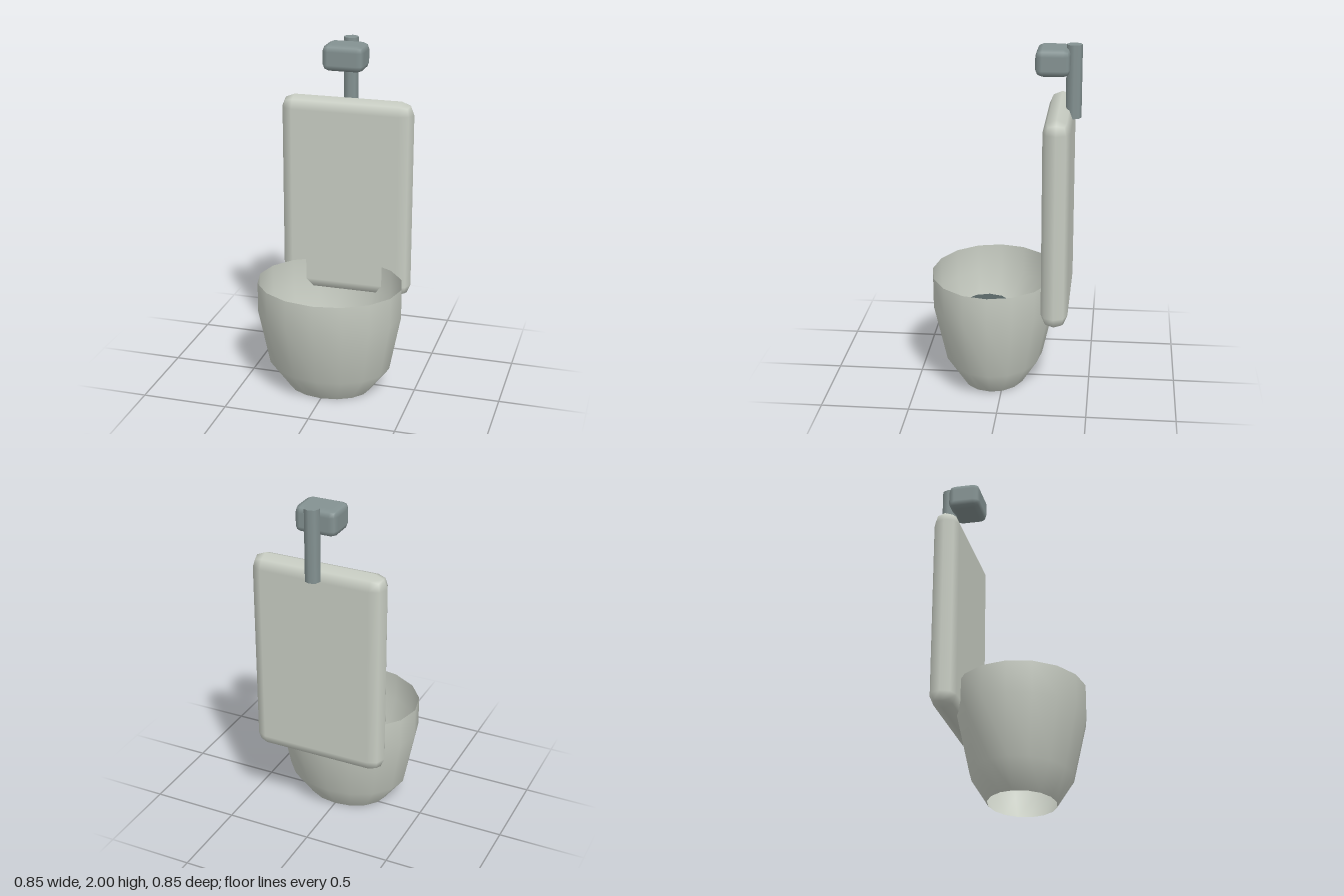
import * as THREE from 'three';
import { mergeVertices } from 'three/addons/utils/BufferGeometryUtils.js';
import { RoundedBoxGeometry } from 'three/addons/geometries/RoundedBoxGeometry.js';

function material(name, color, side = THREE.FrontSide) {
  const m = new THREE.MeshStandardMaterial({ color, side });
  m.name = name;
  return m;
}

// Open oval shell: each ring is [radius in x, radius in z, height]
function ovalShell(rings, sides) {
  const profile = rings.map(([rx, , y]) => new THREE.Vector2(rx, y));
  const geometry = new THREE.LatheGeometry(profile, sides);
  const pos = geometry.attributes.position;
  for (let i = 0; i < pos.count; i++) {
    const [rx, rz] = rings[i % rings.length];
    pos.setZ(i, pos.getZ(i) * rz / rx);
  }
  geometry.deleteAttribute('uv');
  geometry.deleteAttribute('normal');
  const welded = mergeVertices(geometry, 1e-4);
  welded.computeVertexNormals();
  return welded;
}

export function createModel() {
  const model = new THREE.Group();
  model.name = 'wallUrinal';

  const ceramic = material('ceramic', 0xc8cdc3);
  const ceramicShell = material('ceramicShell', 0xc8cdc3, THREE.DoubleSide);
  const metal = material('metal', 0x849292);
  const drainGrey = material('drainGrey', 0x566363);

  const add = (name, geometry, mat, x, y, z) => {
    const mesh = new THREE.Mesh(geometry, mat);
    mesh.name = name;
    mesh.position.set(x, y, z);
    model.add(mesh);
    return mesh;
  };

  // Bowl, open at the top and the bottom
  const rings = [
    [0.245, 0.188, 0],
    [0.36, 0.283, 0.15],
    [0.425, 0.36, 0.485],
    [0.425, 0.36, 0.66],
  ];
  add('bowl', ovalShell(rings, 16), ceramicShell, 0, 0, 0.0625);

  // Back panel with fully rounded edges
  add('backPanel', new RoundedBoxGeometry(0.79, 1.2, 0.15, 1, 0.075), ceramic, 0, 1.06, -0.305);

  // Oval drain plate inside the bowl
  const drain = add('drain', new THREE.CylinderGeometry(0.19, 0.197, 0.05, 12), drainGrey, 0, 0.405, 0.11);
  drain.scale.z = 0.81;

  // Water pipe and flush valve
  add('pipe', new THREE.CylinderGeometry(0.044, 0.044, 0.41, 8), metal, 0, 1.795, -0.381);
  add('flushValve', new RoundedBoxGeometry(0.242, 0.15, 0.19, 1, 0.037), metal, 0, 1.91, -0.267);

  return model;
}
